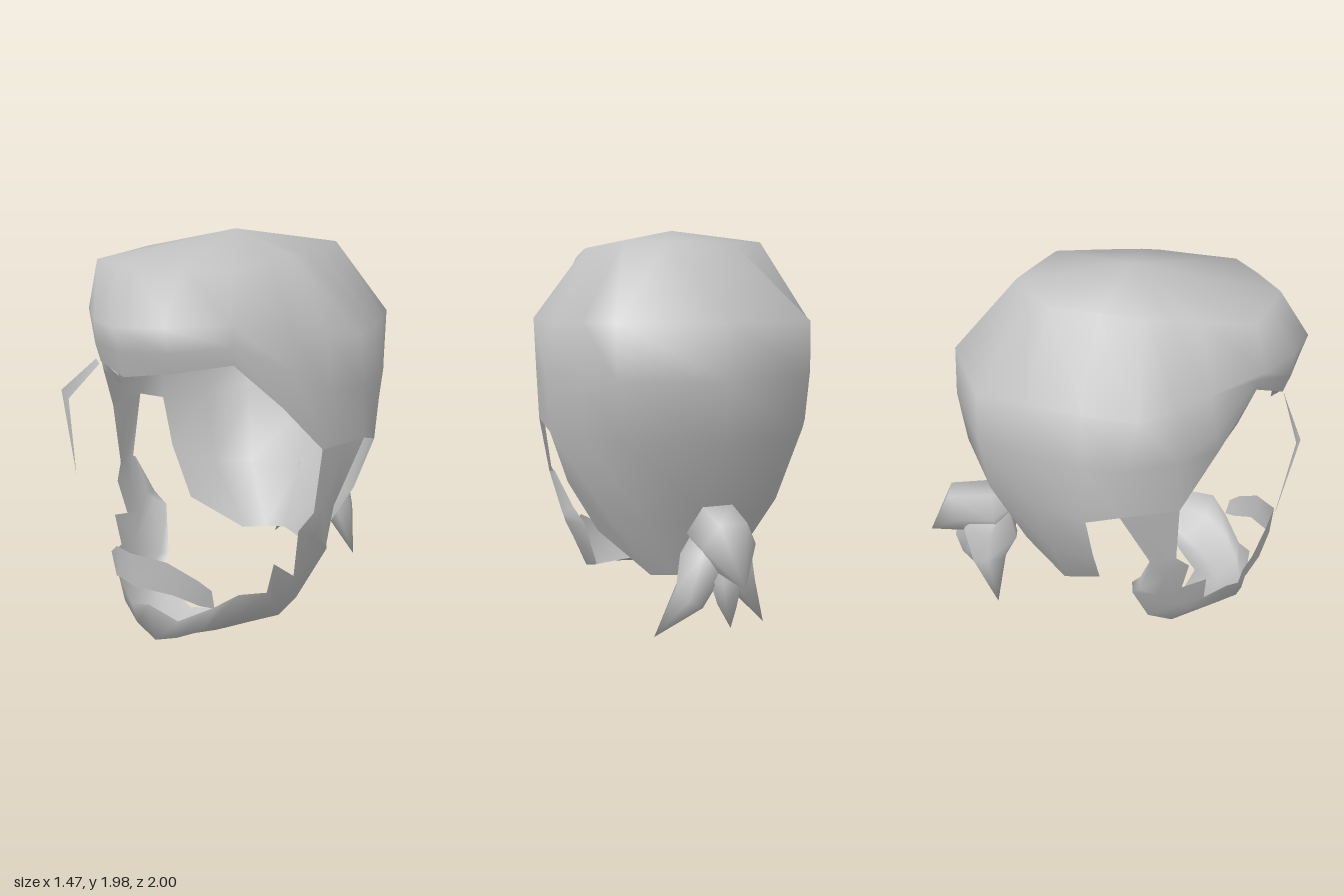
import * as THREE from 'three';
import { mergeVertices } from 'three/addons/utils/BufferGeometryUtils.js';

const hairGrey = new THREE.MeshStandardMaterial({ color: 0xc0c0c0, side: THREE.DoubleSide });
hairGrey.name = 'hairGrey';

const mirror = (section) => section.map(([x, y, z]) => [-x, y, z]);

// Skins neighbouring cross-sections; a longer section hangs free below a shorter one
function loft(name, sections) {
  const pos = [];
  for (let i = 0; i + 1 < sections.length; i++) {
    const a = sections[i], b = sections[i + 1];
    for (let j = 0; j + 1 < Math.min(a.length, b.length); j++) {
      pos.push(...a[j], ...a[j + 1], ...b[j + 1], ...a[j], ...b[j + 1], ...b[j]);
    }
  }
  let geo = new THREE.BufferGeometry();
  geo.setAttribute('position', new THREE.Float32BufferAttribute(pos, 3));
  geo = mergeVertices(geo, 1e-4);
  geo.computeVertexNormals();
  const mesh = new THREE.Mesh(geo, hairGrey);
  mesh.name = name;
  return mesh;
}

// Pointed lock: oval rings [x, y, z, halfWidth, halfDepth] along a path
function lock(name, path) {
  const pts = path.map((p) => new THREE.Vector3(p[0], p[1], p[2]));
  const rings = pts.map((p, i) => {
    const t = pts[Math.min(i + 1, pts.length - 1)].clone().sub(pts[Math.max(i - 1, 0)]).normalize();
    const side = new THREE.Vector3(1, 0, 0).addScaledVector(t, -t.x).normalize();
    const up = t.clone().cross(side);
    const ring = [];
    for (let k = 0; k <= 6; k++) {
      const a = ((k % 6) / 6) * Math.PI * 2;
      ring.push(p.clone().addScaledVector(side, Math.cos(a) * path[i][3])
        .addScaledVector(up, Math.sin(a) * path[i][4]).toArray());
    }
    return ring;
  });
  return loft(name, rings);
}

export function createModel() {
  const model = new THREE.Group();
  model.name = 'hairAndBeard';

  // Hair cap: columns from crown to hairline, front centre round to the nape
  const crown = [0, 1.98, 0.12];
  const front = [
    [crown, [0, 1.84, 0.84], [0, 1.61, 1.0], [0, 1.5, 0.97], [0, 1.38, 0.94]],
    [crown, [0.2, 1.85, 0.76], [0.21, 1.61, 0.9], [0.22, 1.5, 0.89], [0.22, 1.41, 0.86]],
    [crown, [0.41, 1.85, 0.67], [0.43, 1.62, 0.72], [0.44, 1.53, 0.73], [0.44, 1.45, 0.72]],
    [crown, [0.43, 1.87, 0.43], [0.57, 1.58, 0.47], [0.61, 1.4, 0.5], [0.57, 1.24, 0.53]],
    [crown, [0.44, 1.885, 0.28], [0.66, 1.55, 0.31], [0.69, 1.3, 0.34], [0.67, 1.02, 0.35]],
    [crown, [0.44, 1.89, 0.18], [0.735, 1.53, 0.15], [0.735, 1.28, 0.1], [0.73, 1.02, 0.07]],
  ];
  const back = [
    [crown, [0.4, 1.9, -0.03], [0.67, 1.53, -0.1], [0.72, 1.28, -0.1], [0.7, 0.97, -0.09], [0.61, 0.7, -0.06], [0.45, 0.42, -0.03]],
    [crown, [0.35, 1.91, -0.26], [0.58, 1.53, -0.35], [0.6, 1.27, -0.35], [0.57, 0.97, -0.34], [0.46, 0.58, -0.26], [0.22, 0.22, -0.23]],
    [crown, [0.17, 1.905, -0.35], [0.48, 1.53, -0.59], [0.47, 1.27, -0.6], [0.43, 0.98, -0.57], [0.3, 0.56, -0.42], [0.11, 0.23, -0.3]],
    [crown, [0, 1.9, -0.43], [0, 1.53, -0.76], [0, 1.27, -0.775], [0, 0.99, -0.74], [0, 0.56, -0.5], [0, 0.24, -0.34]],
  ];
  const leftSide = [...front, ...back];
  const rightSide = leftSide.map(mirror);
  // The right hairline is lifted where the fringe parts
  rightSide[2][3] = [-0.4, 1.57, 0.7];
  rightSide[2][4] = [-0.4, 1.52, 0.7];
  rightSide[3][4] = [-0.55, 1.28, 0.53];
  model.add(loft('hairCap', [...leftSide, ...rightSide.slice(0, -1).reverse()]));

  // Loose pieces of the fringe
  model.add(loft('templeLock', [
    [[-0.4, 1.57, 0.7], [-0.61, 1.4, 0.5]],
    [[-0.4, 1.52, 0.7], [-0.55, 1.28, 0.53]],
    [[-0.43, 1.35, 0.62], [-0.52, 1.26, 0.53]],
    [[-0.45, 1.2, 0.5], [-0.45, 1.2, 0.5]],
  ]));
  model.add(loft('fringeFlick', [
    [[-0.4, 1.53, 0.7], [-0.22, 1.41, 0.86]],
    [[-0.27, 1.47, 0.8], [-0.2, 1.4, 0.85]],
    [[-0.145, 1.34, 0.82], [-0.145, 1.34, 0.82]],
  ]));
  model.add(loft('fringeStrand', [
    [[-0.25, 1.42, 0.86], [-0.22, 1.4, 0.87]],
    [[-0.42, 1.26, 0.93], [-0.385, 1.22, 0.92]],
    [[-0.45, 0.81, 0.84], [-0.45, 0.81, 0.84]],
  ]));

  // Sideburns and jaw beard: front edge, middle, back or lower edge, then the inward return
  const beard = [
    [[0.67, 1.02, 0.35], [0.7, 1.02, 0.21], [0.73, 1.02, 0.07]],
    [[0.63, 0.7, 0.35], [0.65, 0.7, 0.29], [0.66, 0.7, 0.22], [0.63, 0.7, 0.23]],
    [[0.59, 0.62, 0.42], [0.61, 0.56, 0.3], [0.6, 0.47, 0.18], [0.54, 0.5, 0.18]],
    [[0.54, 0.36, 0.38], [0.57, 0.4, 0.27], [0.58, 0.43, 0.14], [0.49, 0.42, 0.14]],
    [[0.52, 0.47, 0.52], [0.51, 0.28, 0.38], [0.46, 0.16, 0.23], [0.41, 0.16, 0.22]],
    [[0.48, 0.31, 0.52], [0.47, 0.22, 0.45], [0.44, 0.11, 0.36], [0.4, 0.12, 0.31]],
    [[0.41, 0.33, 0.65], [0.38, 0.19, 0.62], [0.32, 0.08, 0.48], [0.33, 0.11, 0.36]],
    [[0.31, 0.26, 0.72], [0.26, 0.13, 0.73], [0.21, 0.045, 0.57], [0.22, 0.1, 0.42]],
    [[0.15, 0.17, 0.79], [0.13, 0.07, 0.78], [0.11, 0.02, 0.63], [0.11, 0.09, 0.47]],
    [[0, 0.23, 0.83], [0, 0.02, 0.79], [0, 0, 0.65], [0, 0.085, 0.52]],
  ];
  model.add(loft('beard', [...beard, ...beard.slice(0, -1).reverse().map(mirror)]));

  // Moustache
  const moustache = [
    [[0.32, 0.36, 0.74], [0.32, 0.26, 0.72]],
    [[0.28, 0.42, 0.79], [0.27, 0.28, 0.77]],
    [[0.16, 0.51, 0.87], [0.18, 0.34, 0.85]],
    [[0, 0.54, 0.94], [0, 0.37, 0.93]],
  ];
  model.add(loft('moustache', [...moustache, ...moustache.slice(0, -1).reverse().map(mirror)]));

  // Tied tail of pointed locks
  const tail = new THREE.Group();
  tail.name = 'tail';
  tail.add(lock('upperTailLock', [
    [0.02, 0.57, -0.5, 0.03, 0.04], [0, 0.55, -0.62, 0.15, 0.14],
    [0.01, 0.53, -0.82, 0.13, 0.15], [0, 0.38, -1, 0, 0],
  ]));
  tail.add(lock('leftTailLock', [
    [0.04, 0.57, -0.6, 0.05, 0.07], [0.08, 0.42, -0.67, 0.12, 0.18],
    [0.16, 0.27, -0.7, 0.08, 0.11], [0.31, 0.05, -0.62, 0, 0],
  ]));
  tail.add(lock('rightTailLock', [
    [-0.03, 0.57, -0.6, 0.05, 0.07], [-0.06, 0.42, -0.65, 0.11, 0.17],
    [-0.13, 0.27, -0.66, 0.06, 0.1], [-0.25, 0.06, -0.61, 0, 0],
  ]));
  tail.add(lock('middleTailLock', [
    [0, 0.5, -0.76, 0.06, 0.06], [0.01, 0.36, -0.79, 0.08, 0.08],
    [0, 0.25, -0.78, 0.05, 0.06], [-0.05, 0.08, -0.69, 0, 0],
  ]));
  model.add(tail);
  return model;
}
